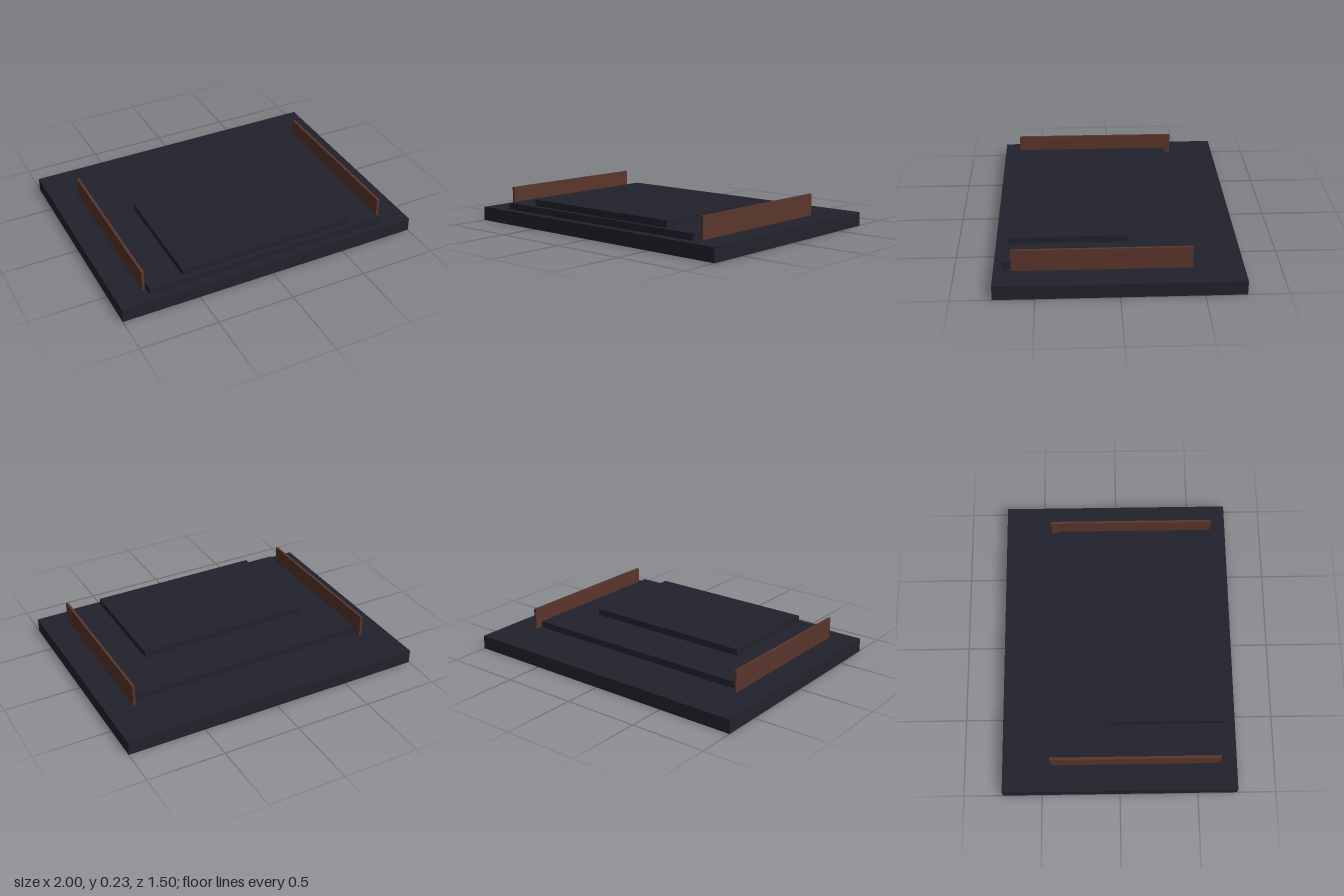
import * as THREE from 'three';

export function createModel() {
  const model = new THREE.Group();
  model.name = 'steppedPlatform';

  const darkStone = new THREE.MeshStandardMaterial({ color: 0x22222c });
  darkStone.name = 'dark stone';
  const brownWood = new THREE.MeshStandardMaterial({ color: 0x5a362c });
  brownWood.name = 'brown wood';

  // Box given by its lower and upper limits on each axis
  const slab = (name, material, [x0, x1], [y0, y1], [z0, z1]) => {
    const mesh = new THREE.Mesh(new THREE.BoxGeometry(x1 - x0, y1 - y0, z1 - z0), material);
    mesh.position.set((x0 + x1) / 2, (y0 + y1) / 2, (z0 + z1) / 2);
    mesh.name = name;
    model.add(mesh);
  };

  // Stacked floor slabs, stepping in towards the top
  slab('base', darkStone, [-1, 1], [0, 0.09], [-0.75, 0.75]);
  slab('lowerStep', darkStone, [-0.8, 0.8], [0.09, 0.133], [-0.4, 0.697]);
  slab('upperStep', darkStone, [-0.575, 0.575], [0.133, 0.176], [-0.07, 0.667]);

  // Thin side rails standing on the base
  slab('leftRail', brownWood, [0.812, 0.828], [0.09, 0.23], [-0.442, 0.643]);
  slab('rightRail', brownWood, [-0.828, -0.812], [0.09, 0.23], [-0.442, 0.643]);

  return model;
}
